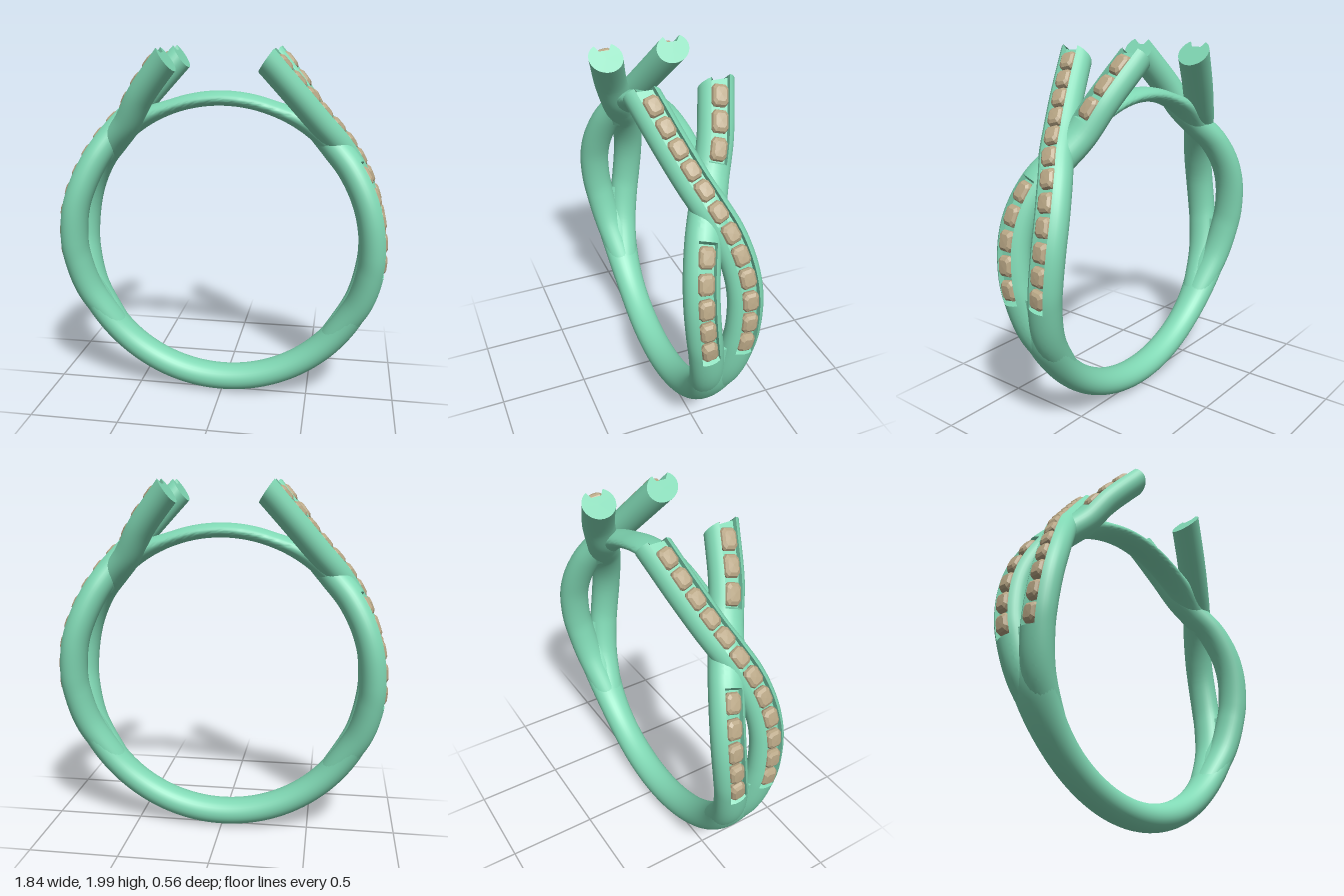
import * as THREE from 'three';
import { toCreasedNormals } from 'three/addons/utils/BufferGeometryUtils.js';

const CY = 0.915;            // height of the ring centre
const A = 0.09, B = 0.076;   // strand half width and half thickness
const EDGE = 0.046, FLOOR = 0.036; // channel half width and floor height

const metal = new THREE.MeshStandardMaterial({ color: 0x80d8b4 });
const stone = new THREE.MeshStandardMaterial({ color: 0xb8a685, flatShading: true });

const smooth = THREE.MathUtils.smoothstep;
const V = (x, y, z) => new THREE.Vector3(x, y, z);
// point on the ring: angle in degrees, radius, depth
function polar(deg, r, z = 0) {
  const a = THREE.MathUtils.degToRad(deg);
  return V(r * Math.cos(a), CY + r * Math.sin(a), z);
}

// position and axes at u: t along the path, n outward, s sideways
function frameAt(curve, u) {
  const p = curve.getPointAt(u), t = curve.getTangentAt(u);
  const n = V(t.y, -t.x, 0).normalize();
  return { p, t, n, s: n.clone().cross(t) };
}

// sweep a changing section along a curve, optionally cut off by a plane
function sweep(curve, steps, section, cut) {
  const pos = [], idx = [];
  let count = 0, rings = 0;
  for (let k = 0; k <= steps; k++) {
    const f = frameAt(curve, k / steps);
    let ring = section(f.p, k / steps).map(([a, b]) =>
      f.p.clone().addScaledVector(f.s, a).addScaledVector(f.n, b));
    const last = cut && ring.some(q => cut.distanceToPoint(q) > 0);
    if (last) {
      const slope = f.t.dot(cut.normal);
      ring = ring.map(q => q.addScaledVector(f.t, -cut.distanceToPoint(q) / slope));
    }
    ring.forEach(q => pos.push(q.x, q.y, q.z));
    count = ring.length;
    rings++;
    if (last) break;
  }
  for (let k = 0; k < rings - 1; k++)
    for (let i = 0; i < count; i++) {
      const j = (i + 1) % count, a = k * count, b = a + count;
      idx.push(a + i, a + j, b + i, a + j, b + j, b + i);
    }
  // caps
  for (const [base, flip] of [[0, true], [(rings - 1) * count, false]]) {
    const c = V(0, 0, 0);
    for (let i = 0; i < count; i++) c.add(V().fromArray(pos, (base + i) * 3));
    c.divideScalar(count);
    const ci = pos.length / 3;
    pos.push(c.x, c.y, c.z);
    for (let i = 0; i < count; i++) {
      const j = (i + 1) % count;
      if (flip) idx.push(ci, base + j, base + i);
      else idx.push(ci, base + i, base + j);
    }
  }
  const g = new THREE.BufferGeometry();
  g.setAttribute('position', new THREE.Float32BufferAttribute(pos, 3));
  g.setIndex(idx);
  return toCreasedNormals(g, 0.75);
}

function ellipse(a, b, n = 32) {
  return Array.from({ length: n }, (_, i) => {
    const t = (i / n) * Math.PI * 2;
    return [a * Math.cos(t), b * Math.sin(t)];
  });
}

// oval section whose outer side can sink into a stone channel
function strandSection(scale, sunk) {
  const a = A * scale, b = B * scale, n = 26;
  const start = Math.acos(EDGE / a), pts = [];
  for (let i = 0; i <= n; i++) {
    const t = Math.PI - start + (i / n) * (Math.PI + 2 * start);
    pts.push([a * Math.cos(t), b * Math.sin(t)]);
  }
  for (const f of [0.97, 0.5, 0, -0.5, -0.97]) {
    const s = f * EDGE;
    pts.push([s, sunk ? FLOOR : b * Math.sqrt(1 - (s / a) ** 2)]);
  }
  return pts;
}

// cushion-cut stone: eight-sided crown with a flat table
function makeGemGeometry() {
  const profile = [[0, 0], [0.9, 0], [1, 0.45], [0.9, 0.75], [0.62, 0.97], [0, 1]];
  const g = new THREE.LatheGeometry(profile.map(p => new THREE.Vector2(...p)), 8, Math.PI / 8);
  const p = g.attributes.position;
  for (let i = 0; i < p.count; i++) {
    const x = p.getX(i), z = p.getZ(i), r = Math.hypot(x, z);
    if (r < 1e-6) continue;
    const square = v => Math.sign(v) * r * (Math.abs(v / r) > 0.7 ? 1 : 0.62);
    p.setXYZ(i, square(x), p.getY(i), square(z));
  }
  g.computeVertexNormals();
  return g;
}
const gemGeometry = makeGemGeometry();

// path position at a given height (the strands always climb)
function atHeight(curve, y) {
  let lo = 0, hi = 1;
  for (let i = 0; i < 30; i++) {
    const mid = (lo + hi) / 2;
    if (curve.getPointAt(mid).y < y) lo = mid; else hi = mid;
  }
  return lo;
}

// rows: [lowest stone height, highest stone height, stone count]
function makeStrand(name, points, rows) {
  const group = new THREE.Group();
  group.name = name;
  const curve = new THREE.CatmullRomCurve3(points);
  curve.arcLengthDivisions = 600;
  const length = curve.getLength();
  const spans = rows.map(([y0, y1, count]) => {
    const u0 = atHeight(curve, y0), u1 = atHeight(curve, y1);
    return { u0, u1, count, half: (u1 - u0) / (count - 1) / 2 };
  });
  const sunk = u => spans.some(r => u > r.u0 - r.half && u < r.u1 + r.half);
  const end = points[points.length - 1];
  const cut = new THREE.Plane().setFromNormalAndCoplanarPoint(
    V(-0.82, 0.57, 0).normalize(), V(0.262, 1.935, Math.sign(end.z) * 0.188));
  const body = new THREE.Mesh(sweep(curve, 210,
    (p, u) => strandSection(0.93 + 0.07 * smooth(u, 0, 0.2), sunk(u)), cut), metal);
  body.name = name + 'Body';
  group.add(body);
  for (const r of spans)
    for (let i = 0; i < r.count; i++) {
      const f = frameAt(curve, r.u0 + 2 * r.half * i);
      const gem = new THREE.Mesh(gemGeometry, stone);
      gem.name = 'stone';
      gem.applyMatrix4(new THREE.Matrix4().makeBasis(f.s, f.n, f.t)
        .setPosition(f.p.clone().addScaledVector(f.n, FLOOR - 0.006)));
      gem.scale.set(0.042, 0.048, r.half * length * 0.9);
      group.add(gem);
    }
  return group;
}

// one shoulder: an outer strand crossing over an inner one
function makeShoulder(name) {
  const group = new THREE.Group();
  group.name = name;
  const lower = side => [[-42, 0.005], [-22, 0.05], [-8, 0.085], [0, 0.103], [12, 0.113], [22, 0.1]]
    .map(([deg, z]) => polar(deg, 0.84, side * z));
  group.add(makeStrand('overStrand', [
    ...lower(-1), polar(33, 0.847, -0.06), polar(43, 0.86, 0), polar(52, 0.877, 0.052),
    V(0.42, 1.75, 0.115), V(0.262, 1.935, 0.188), V(0.17, 2.04, 0.23)
  ], [[0.86, 1.88, 12]]));
  group.add(makeStrand('underStrand', [
    ...lower(1), polar(33, 0.836, 0.06), polar(43, 0.828, 0), polar(52, 0.843, -0.052),
    V(0.425, 1.735, -0.115), V(0.262, 1.935, -0.188), V(0.17, 2.04, -0.23)
  ], [[0.86, 1.31, 5], [1.69, 1.88, 3]]));
  return group;
}

// arc path between two angles with a radius rule
function arc(from, to, radius, n = 40) {
  return new THREE.CatmullRomCurve3(Array.from({ length: n + 1 }, (_, i) => {
    const deg = from + (to - from) * i / n;
    return polar(deg, radius(deg));
  }));
}

export function createModel() {
  const model = new THREE.Group();
  model.name = 'ring';

  // lower band, widening and thinning out between the strands
  const shank = new THREE.Mesh(sweep(arc(186, 354, () => 0.84), 100, p =>
    ellipse(0.088 + 0.065 * smooth(p.y, 0.15, 0.85), B - 0.04 * smooth(p.y, 0.5, 0.83))), metal);
  shank.name = 'shank';
  model.add(shank);

  // thin bridge under the open top, thicker at the shoulders
  const half = deg => 0.04 + 0.03 * smooth(Math.abs(deg - 90), 18, 48);
  const bridge = new THREE.Mesh(sweep(arc(36, 144, d => 0.765 + half(d)), 70, (p, u) =>
    ellipse(0.087, half(36 + 108 * u))), metal);
  bridge.name = 'bridge';
  model.add(bridge);

  // two shoulders, half a turn apart
  const left = makeShoulder('leftShoulder');
  const right = makeShoulder('rightShoulder');
  right.rotation.y = Math.PI;
  model.add(left, right);
  return model;
}
